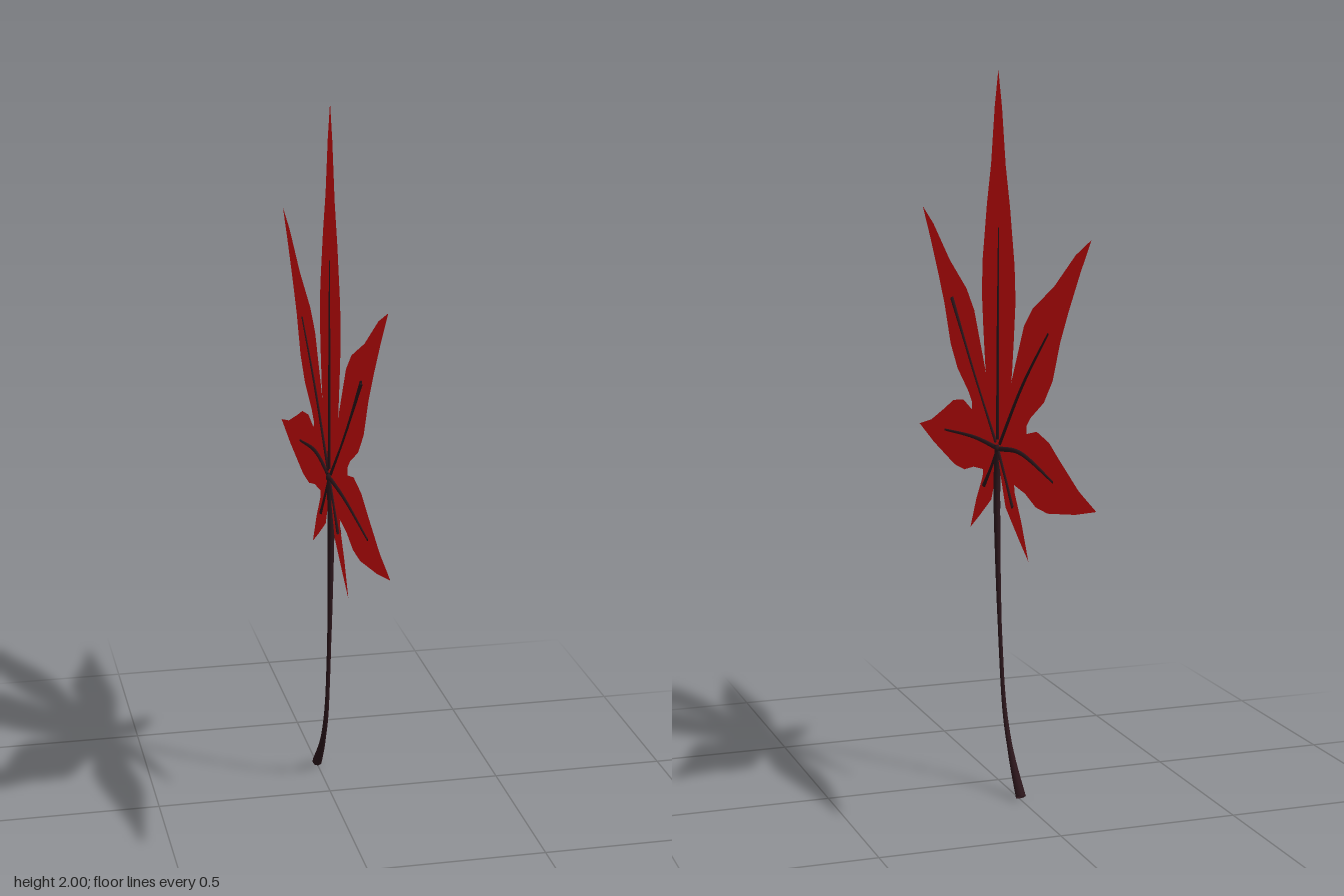
import * as THREE from 'three';

// Half outline of the blade as [z, y], from the top tip down to the stem
const HALF = [
  [0.03, 1.9], [0.06, 1.745], [0.095, 1.635], [0.132, 1.48], [0.14, 1.385], [0.127, 1.28], [0.112, 1.185], [0.105, 1.158],
  [0.207, 1.325], [0.275, 1.38], [0.43, 1.45], [0.585, 1.545], [0.69, 1.59], [0.615, 1.5], [0.535, 1.395],
  [0.48, 1.315], [0.424, 1.205], [0.36, 1.14], [0.26, 1.085], [0.228, 1.058], [0.23, 1.037],
  [0.307, 1.055], [0.4, 1.04], [0.48, 1.005], [0.615, 0.95], [0.735, 0.92], [0.59, 0.885], [0.39, 0.85],
  [0.3, 0.85], [0.217, 0.872], [0.13, 0.88],
  [0.135, 0.858], [0.19, 0.785], [0.245, 0.69], [0.165, 0.738], [0.06, 0.805], [0.03, 0.865],
];

const leafMaterial = new THREE.MeshStandardMaterial({ color: 0xd80d0d, side: THREE.DoubleSide });
const stemMaterial = new THREE.MeshStandardMaterial({ color: 0x2b161b });

// Closed tube along [z, y] points whose radius follows an evenly spaced list
function taperedTube(name, points, radii, segments) {
  const sides = 8;
  const curve = new THREE.CatmullRomCurve3(points.map(([z, y]) => new THREE.Vector3(0, y, z)));
  const geometry = new THREE.TubeGeometry(curve, segments, 1, sides);
  const pos = geometry.attributes.position;
  const v = new THREE.Vector3();
  for (let i = 0; i <= segments; i++) {
    const t = (i / segments) * (radii.length - 1);
    const k = Math.min(Math.floor(t), radii.length - 2);
    const isEnd = i === 0 || i === segments;
    const radius = isEnd ? 0 : THREE.MathUtils.lerp(radii[k], radii[k + 1], t - k);
    const centre = curve.getPointAt(i / segments);
    // End rings collapse onto their neighbour's centre to form flat caps
    const target = curve.getPointAt(THREE.MathUtils.clamp(i, 1, segments - 1) / segments);
    for (let j = 0; j <= sides; j++) {
      const n = i * (sides + 1) + j;
      v.fromBufferAttribute(pos, n).sub(centre).multiplyScalar(radius).add(target);
      pos.setXYZ(n, v.x, v.y, v.z);
    }
  }
  const mesh = new THREE.Mesh(geometry, stemMaterial);
  mesh.name = name;
  return mesh;
}

export function createModel() {
  const model = new THREE.Group();
  model.name = 'leaf';

  // Flat seven-lobed blade in the YZ plane
  const mirrored = HALF.map(([z, y]) => [-z, y]).reverse();
  const outline = [[0, 2], ...HALF, [0, 0.93], ...mirrored];
  const shape = new THREE.Shape(outline.map(([z, y]) => new THREE.Vector2(z, y)));
  const blade = new THREE.Mesh(new THREE.ShapeGeometry(shape).rotateY(-Math.PI / 2), leafMaterial);
  blade.name = 'blade';
  model.add(blade);

  // Curved stem, thickening toward its foot
  model.add(taperedTube('stem', [
    [0, 0.98], [0.012, 0.865], [0.005, 0.655], [-0.018, 0.415], [-0.055, 0.22], [-0.11, 0.11], [-0.205, -0.007],
  ], [0.01, 0.01, 0.008, 0.006, 0.006, 0.008, 0.016], 40));

  // One vein for each lobe, all starting at the hub
  const hub = [0, 0.96];
  const veins = [
    ['topVein', [[0, 1.25], [-0.004, 1.6]], [0.007, 0.005, 0.002]],
    ['upperLeftVein', [[0.2, 1.14], [0.42, 1.357]], [0.006, 0.004, 0.005, 0.008]],
    ['upperRightVein', [[-0.2, 1.165], [-0.41, 1.34]], [0.006, 0.005, 0.003]],
    ['sideLeftVein', [[0.2, 0.96], [0.5, 0.938]], [0.007, 0.005, 0.003]],
    ['sideRightVein', [[-0.18, 0.977], [-0.45, 0.938]], [0.007, 0.006, 0.003]],
    ['lowerLeftVein', [[0.06, 0.895], [0.125, 0.83]], [0.006, 0.005, 0.007]],
    ['lowerRightVein', [[-0.06, 0.89], [-0.127, 0.81]], [0.006, 0.005, 0.006]],
  ];
  for (const [name, points, radii] of veins) model.add(taperedTube(name, [hub, ...points], radii, 24));

  // Small knot where the veins meet
  const knot = new THREE.Mesh(new THREE.SphereGeometry(0.012, 12, 8), stemMaterial);
  knot.name = 'veinHub';
  knot.position.set(0, hub[1], hub[0]);
  model.add(knot);

  return model;
}
